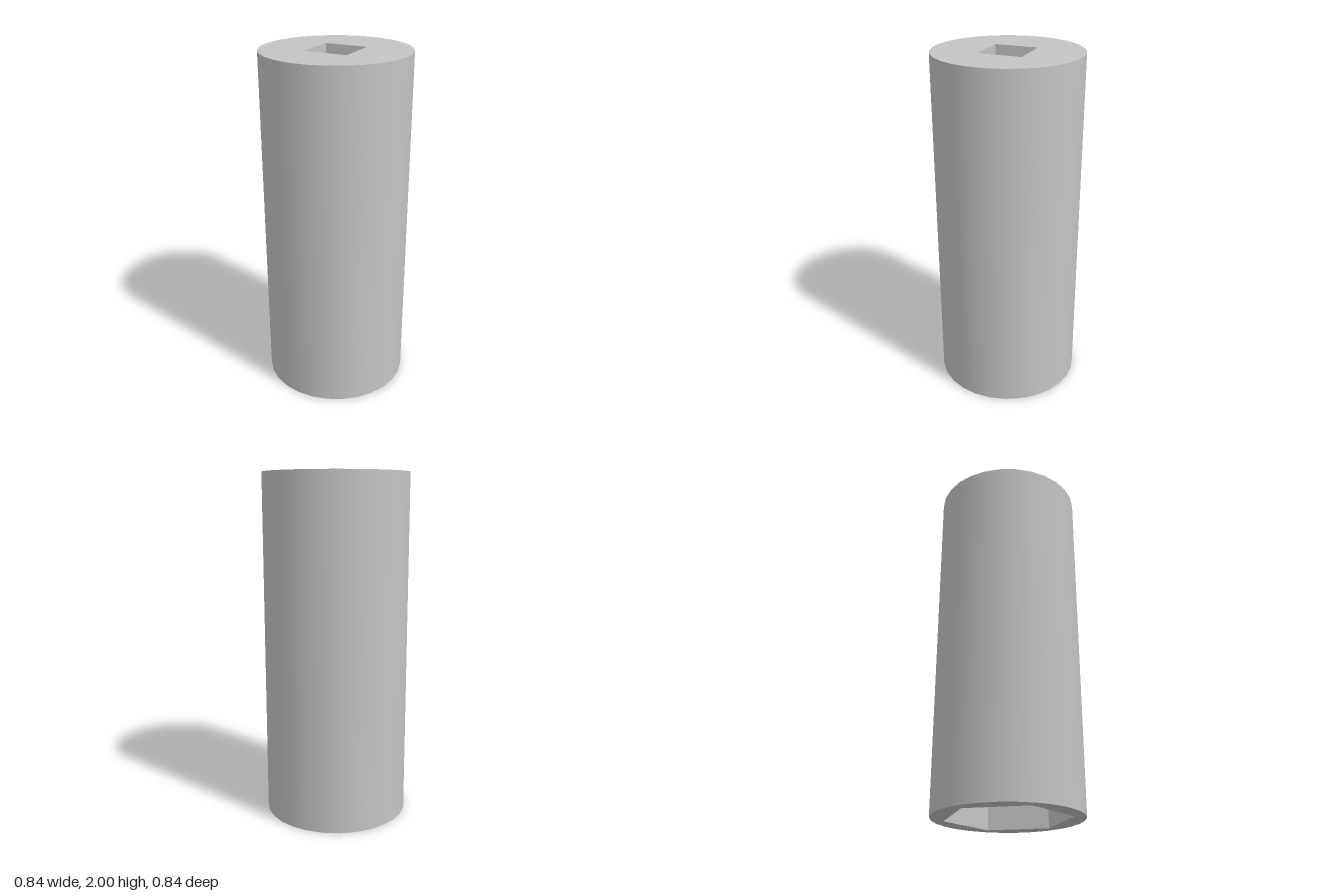
import * as THREE from 'three';

const R_BODY = 0.42, N_BODY = 28;
const R_HEX = 0.357, R_SQUARE = 0.177;
const HEIGHT = 2, STEP = 1; // STEP: height where the hex socket meets the square drive

// Corner points of a regular polygon with a corner on +x
function polygon(radius, sides) {
  return Array.from({ length: sides }, (_, i) => {
    const a = (i / sides) * Math.PI * 2;
    return new THREE.Vector2(radius * Math.cos(a), radius * Math.sin(a));
  });
}

// Flat horizontal face with a hole, facing up or down
function ring(outer, hole, y, up) {
  const shape = new THREE.Shape(outer);
  shape.holes.push(new THREE.Path(hole));
  return new THREE.ShapeGeometry(shape).rotateX(up ? -Math.PI / 2 : Math.PI / 2).translate(0, y, 0);
}

// Prism wall; it faces outward when y0 < y1 and inward when y0 > y1
function wall(radius, sides, y0, y1) {
  const profile = [new THREE.Vector2(radius, y0), new THREE.Vector2(radius, y1)];
  return new THREE.LatheGeometry(profile, sides, Math.PI / 2);
}

function flat(geometry) {
  const g = geometry.toNonIndexed();
  g.computeVertexNormals();
  return g;
}

export function createModel() {
  const group = new THREE.Group();
  group.name = 'deepSocket';
  const steel = new THREE.MeshStandardMaterial({ color: 0xc4c4c4 });
  steel.name = 'steel grey';

  const add = (name, geometry) => {
    const mesh = new THREE.Mesh(geometry, steel);
    mesh.name = name;
    group.add(mesh);
  };

  const body = polygon(R_BODY, N_BODY);
  const hex = polygon(R_HEX, 6);
  const square = polygon(R_SQUARE, 4);

  // Smooth round body with its two end faces
  add('outerWall', wall(R_BODY, N_BODY, 0, HEIGHT));
  add('topFace', ring(body, square, HEIGHT, true));
  add('bottomFace', ring(body, hex, 0, false));

  // Square drive hole from the top, hex socket from the bottom, ledge between
  add('squareDriveHole', flat(wall(R_SQUARE, 4, HEIGHT, STEP)));
  add('hexSocket', flat(wall(R_HEX, 6, STEP, 0)));
  add('innerLedge', ring(hex, square, STEP, false));

  return group;
}
